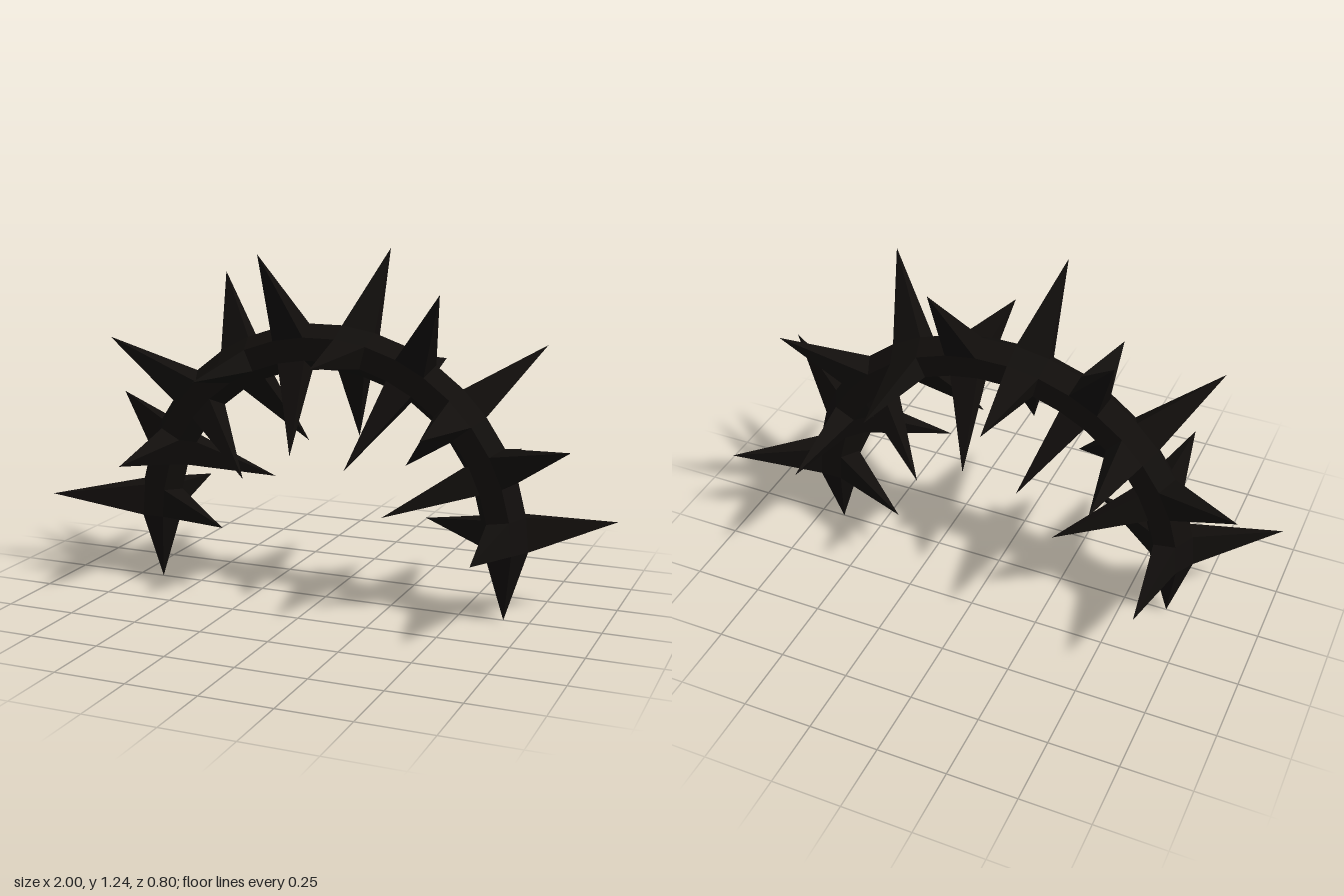
import * as THREE from 'three';

const SEGMENTS = 19, STEP = Math.PI / SEGMENTS;
const ARCH_R = 0.659, TUBE_R = 0.08, CENTRE_Y = 0.25, SPIKE = 0.4;
const SIDE = Math.PI / 3;

const material = new THREE.MeshStandardMaterial({ color: 0x110e0c, flatShading: true });

// Point at angle a along the arch and phi around the tube (0 = outward, 90 deg = +z)
function point(a, phi, rho = TUBE_R, archR = ARCH_R) {
  const r = archR + rho * Math.cos(phi);
  return new THREE.Vector3(r * Math.cos(a), CENTRE_Y + r * Math.sin(a), rho * Math.sin(phi));
}

function makeMesh(name, points) {
  const geometry = new THREE.BufferGeometry().setFromPoints(points);
  geometry.computeVertexNormals();
  const mesh = new THREE.Mesh(geometry, material);
  mesh.name = name;
  return mesh;
}

// Open pyramid from a counter-clockwise base loop to a tip
function pyramid(name, loop, tip) {
  return makeMesh(name, loop.flatMap((p, i) => [p, loop[(i + 1) % loop.length], tip]));
}

export function createModel() {
  const model = new THREE.Group();
  model.name = 'spikedArch';
  const bodyPoints = [];

  // Hexagonal tube: every second segment carries three spikes on alternating sides
  for (let s = 0; s < SEGMENTS; s++) {
    const a0 = s * STEP, a1 = a0 + STEP, mid = a0 + STEP / 2;
    const spiked = s % 2 === 0;
    const parity = (s / 2) % 2 === 0 ? 1 : 0;
    const cluster = new THREE.Group();
    cluster.name = 'spikeCluster';

    for (let j = 0; j < 6; j++) {
      const p0 = j * SIDE, p1 = p0 + SIDE;
      const [a, b, c, d] = [point(a0, p0), point(a1, p0), point(a1, p1), point(a0, p1)];
      if (spiked && j % 2 === parity) {
        const tip = point(mid, p0 + SIDE / 2, SPIKE, ARCH_R * Math.cos(STEP / 2));
        cluster.add(pyramid('spike', [a, b, c, d], tip));
      } else {
        bodyPoints.push(a, b, c, a, c, d);
      }
    }
    if (spiked) model.add(cluster);
  }
  model.add(makeMesh('archBody', bodyPoints));

  // Downward points closing both ends
  const ring = (a) => Array.from({ length: 6 }, (_, j) => point(a, j * SIDE));
  model.add(pyramid('leftEndSpike', ring(0), new THREE.Vector3(ARCH_R, 0, 0)));
  model.add(pyramid('rightEndSpike', ring(Math.PI).reverse(), new THREE.Vector3(-ARCH_R, 0, 0)));

  return model;
}
